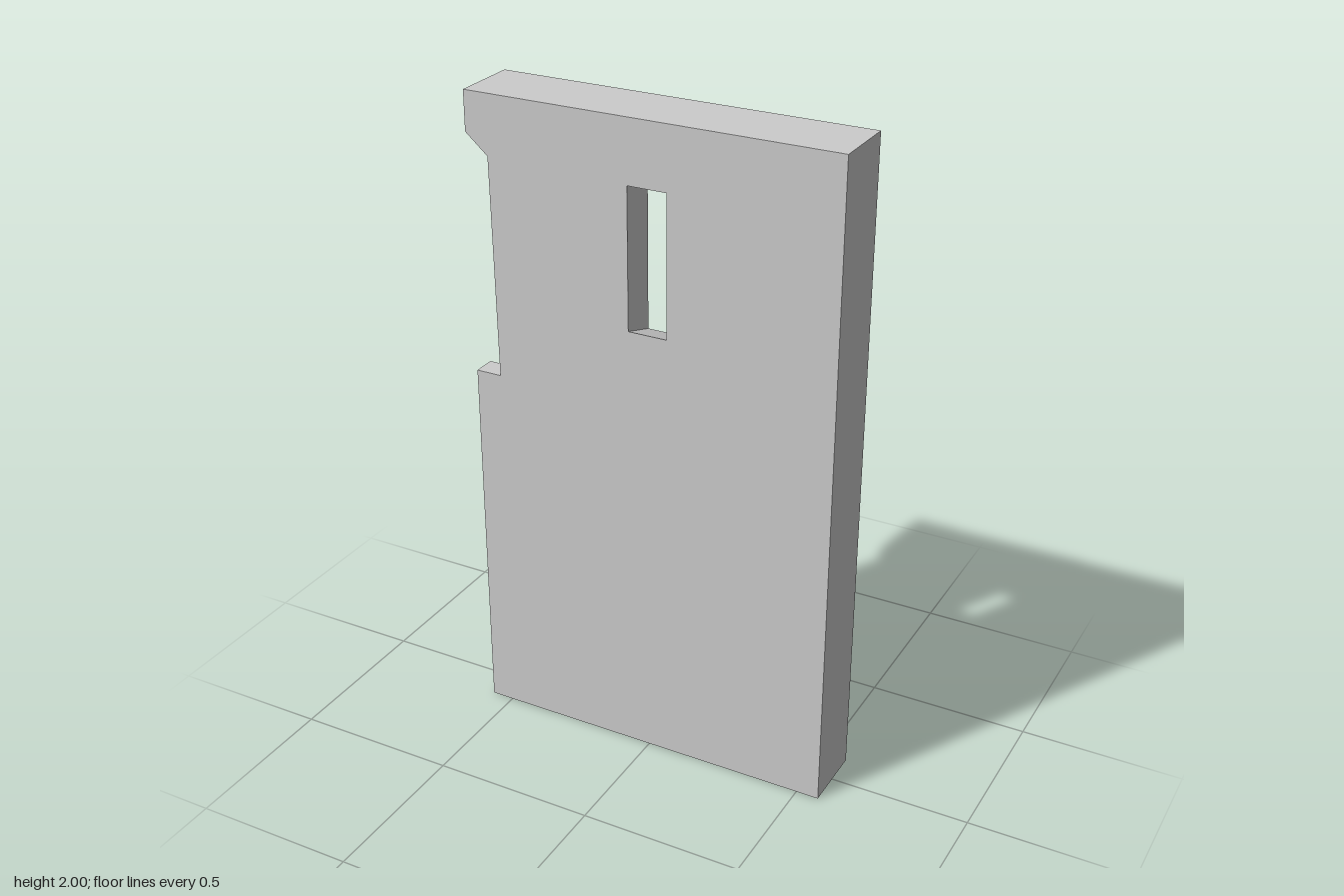
import * as THREE from 'three';

const W = 0.57, H = 2, BACK = -0.105, MID = 0.035, FRONT = 0.105;

// Wall outline, counter-clockwise from the front, with a notch in the -x edge
const outline = (notch) =>
  [[-W, 0], [W, 0], [W, H], [-W, H], ...notch].map(([x, y]) => new THREE.Vector2(x, y));

// Window outline, clockwise so that its reveal faces inwards
const opening = (x, y0, y1) =>
  [[-x, y0], [-x, y1], [x, y1], [x, y0]].map(([a, b]) => new THREE.Vector2(a, b));

export function createModel() {
  const positions = [];
  const put = (p, z) => positions.push(p.x, p.y, z);

  // Side surface joining two loops
  const strip = (a, za, b, zb) => {
    a.forEach((p, i) => {
      const j = (i + 1) % a.length;
      put(p, za); put(a[j], za); put(b[j], zb);
      put(p, za); put(b[j], zb); put(b[i], zb);
    });
  };

  // Flat face with the window cut out
  const cap = (loop, hole, z, flip) => {
    const pts = [...loop, ...hole];
    for (const [a, b, c] of THREE.ShapeUtils.triangulateShape(loop, [hole])) {
      for (const k of flip ? [a, c, b] : [a, b, c]) put(pts[k], z);
    }
  };

  // The notch is straight at the front and splays out towards the back
  const backLoop = outline([[-W, 1.955], [-0.457, 1.91], [-0.413, 1.84], [-0.414, 1.5], [-0.415, 0.955], [-W, 0.955]]);
  const frontLoop = outline([[-W, 1.88], [-0.506, 1.825], [-0.5, 1.82], [-0.495, 1.5], [-0.49, 1.152], [-W, 1.152]]);

  // The window widens towards the back on all four sides
  const backHole = opening(0.112, 1.3, 1.857);
  const frontHole = opening(0.06, 1.385, 1.81);

  strip(backLoop, BACK, frontLoop, MID);
  strip(frontLoop, MID, frontLoop, FRONT);
  strip(backHole, BACK, frontHole, FRONT);
  cap(backLoop, backHole, BACK, true);
  cap(frontLoop, frontHole, FRONT, false);

  const geometry = new THREE.BufferGeometry();
  geometry.setAttribute('position', new THREE.Float32BufferAttribute(positions, 3));
  geometry.computeVertexNormals();

  const wall = new THREE.Mesh(geometry, new THREE.MeshStandardMaterial({ color: 0xcccccc, flatShading: true }));
  wall.name = 'wallPanel';

  const group = new THREE.Group();
  group.name = 'wall';
  group.add(wall);
  return group;
}
